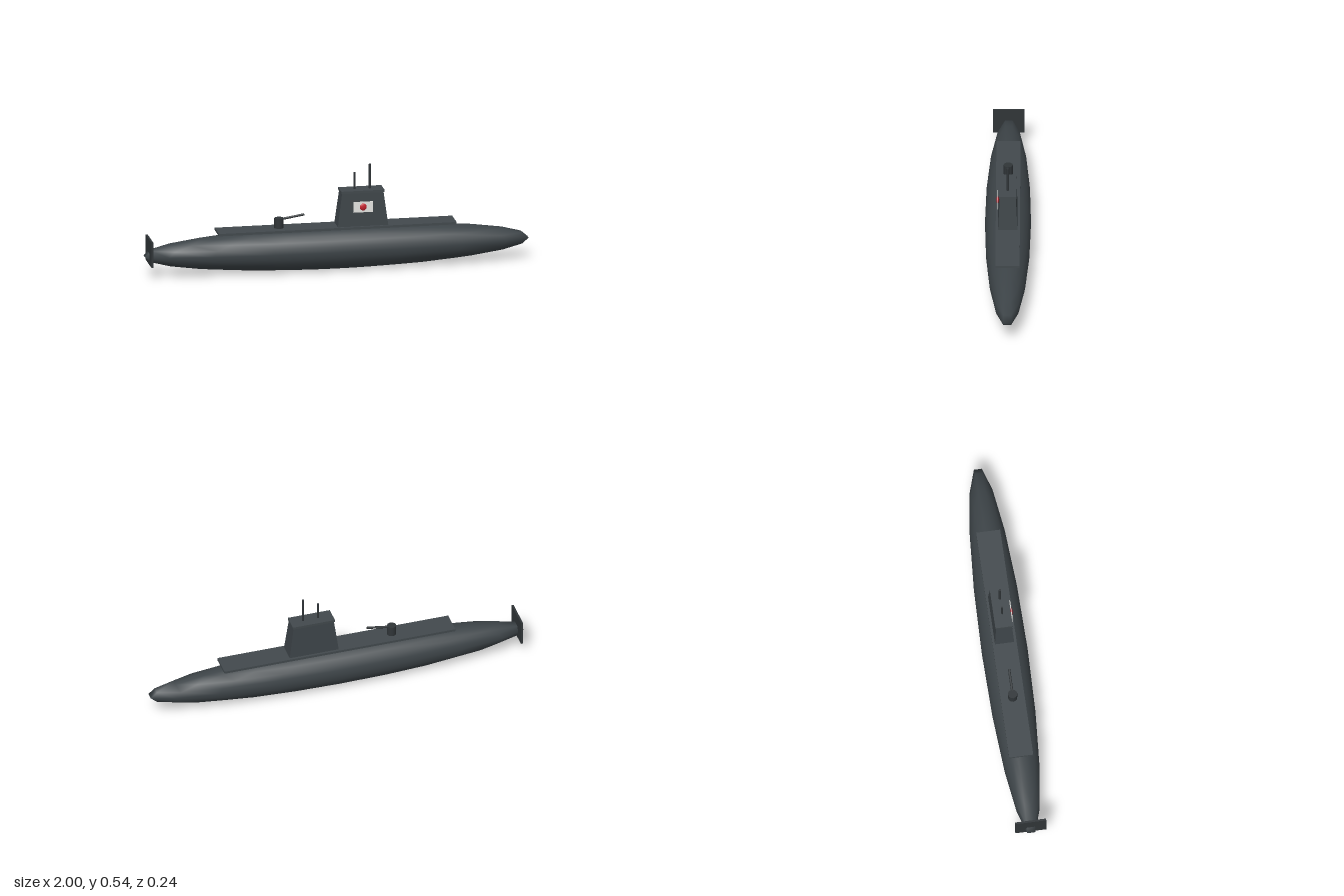
import * as THREE from 'three';
import { toCreasedNormals } from 'three/addons/utils/BufferGeometryUtils.js';

const paint = (name, color) => {
  const m = new THREE.MeshStandardMaterial({ color });
  m.name = name;
  return m;
};

export function createModel() {
  const model = new THREE.Group();
  model.name = 'submarine';
  const hullGrey = paint('hull grey', 0x3d4448);
  const deckGrey = paint('deck grey', 0x42494d);
  const darkGrey = paint('dark fittings grey', 0x303538);
  const white = paint('flag white', 0xe8e8e4);
  const red = paint('flag red', 0xc4202c);

  const add = (name, geometry, material, x, y, z = 0) => {
    const mesh = new THREE.Mesh(geometry, material);
    mesh.name = name;
    mesh.position.set(x, y, z);
    model.add(mesh);
    return mesh;
  };

  // Long ellipsoid hull; the quarter turn leaves a short blunt edge at each end
  const hull = new THREE.SphereGeometry(1, 18, 12);
  hull.rotateY(Math.PI / 2);
  hull.scale(1 / Math.cos(Math.PI / 18), 0.1125, 0.118);
  add('hull', hull, hullGrey, 0, 0.1125);

  // Deck and stern plate
  add('deck', new THREE.BoxGeometry(1.238, 0.0125, 0.124), deckGrey, -0.002, 0.2212);
  add('sternPlate', new THREE.BoxGeometry(0.01, 0.134, 0.16), darkGrey, -0.972, 0.138);

  // Tapered conning tower with an overhanging cap
  const towerX = 0.132, towerBottom = 0.222, towerTop = 0.402;
  let tower = new THREE.CylinderGeometry(0.82 * Math.SQRT2, Math.SQRT2, 1, 4);
  tower.rotateY(Math.PI / 4);
  tower.scale(0.132, towerTop - towerBottom, 0.05);
  tower = toCreasedNormals(tower, 0.5);
  add('conningTower', tower, hullGrey, towerX, (towerBottom + towerTop) / 2);
  add('towerCap', new THREE.BoxGeometry(0.225, 0.0125, 0.09), deckGrey, towerX, 0.408);

  // Masts: x, top height, radius
  for (const [name, x, top, radius] of [
    ['shortMast', 0.096, 0.503, 0.005],
    ['periscope', 0.177, 0.543, 0.0065],
  ]) {
    const base = 0.41;
    add(name, new THREE.CylinderGeometry(radius, radius, top - base, 8), darkGrey, x, (top + base) / 2);
  }

  // Flag plate with a domed disc on the front side of the tower
  add('flagPlate', new THREE.BoxGeometry(0.1, 0.056, 0.003), white, towerX, 0.33, 0.0515);
  const disc = new THREE.SphereGeometry(0.0185, 16, 10);
  disc.scale(1, 1, 0.35);
  add('flagDisc', disc, red, towerX, 0.33, 0.0525);

  // Deck gun
  add('gunMount', new THREE.CylinderGeometry(0.024, 0.024, 0.053, 12), darkGrey, -0.298, 0.2535);
  const start = new THREE.Vector3(-0.298, 0.271, 0), end = new THREE.Vector3(-0.166, 0.292, 0);
  const barrel = add('gunBarrel', new THREE.CylinderGeometry(0.0062, 0.0062, start.distanceTo(end), 8),
    darkGrey, (start.x + end.x) / 2, (start.y + end.y) / 2);
  barrel.rotation.z = Math.atan2(end.y - start.y, end.x - start.x) - Math.PI / 2;

  return model;
}
